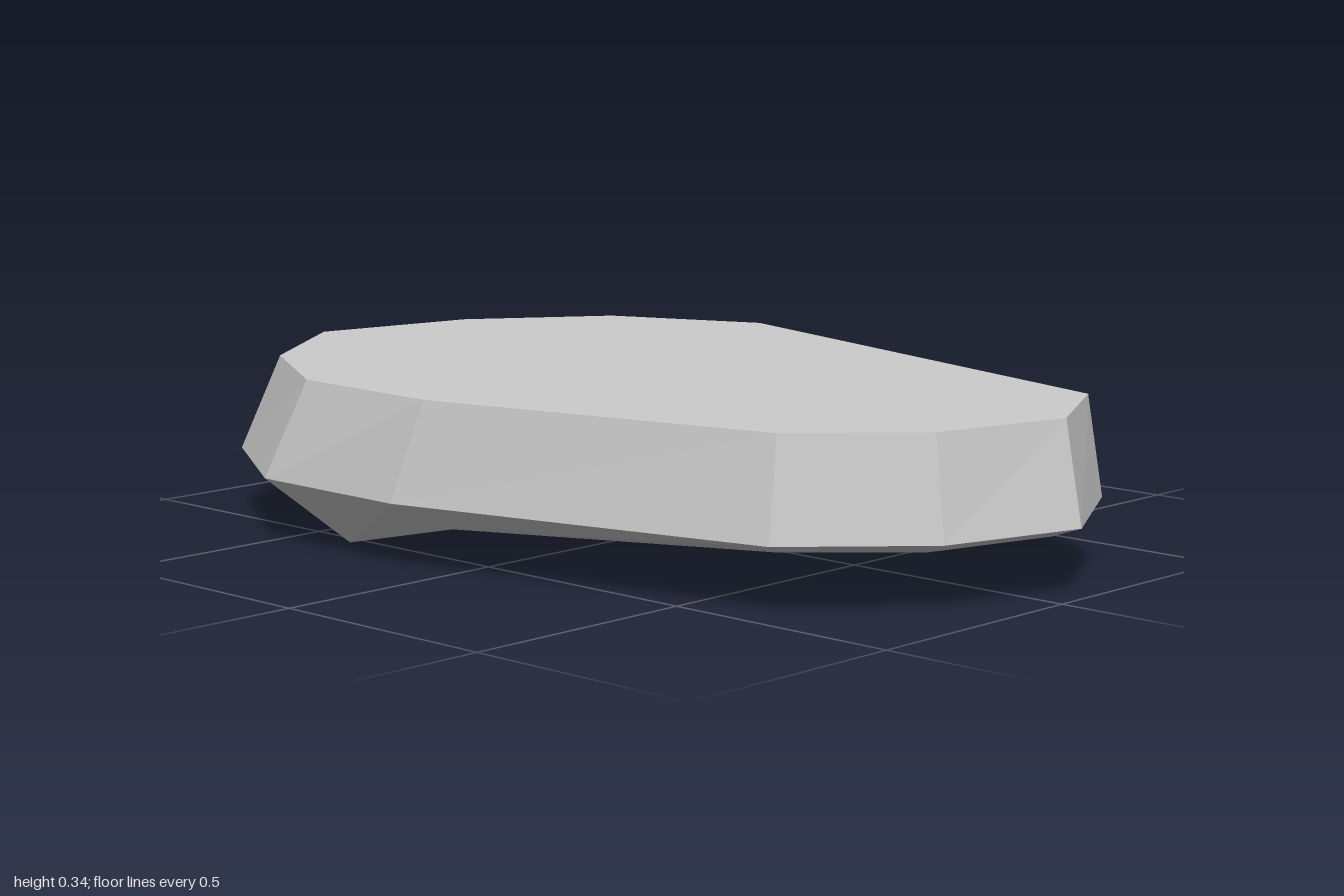
import * as THREE from 'three';

// Cross-section rings of the shell, clockwise from the back: [x, y, z]
const TOP_Y = 0.335, RIM_Y = 0.133;
const topRing = [
  [-0.145, -0.89], [0.2, -0.815], [0.47, -0.62], [0.61, -0.3], [0.31, 0.82], [0.055, 0.96],
  [-0.23, 0.885], [-0.435, 0.685], [-0.62, -0.05], [-0.61, -0.4], [-0.435, -0.69],
].map(([x, z]) => [x, TOP_Y, z]);
const rimRing = [
  [-0.155, -1], [0.21, -0.92], [0.51, -0.71], [0.66, -0.365], [0.335, 0.84], [0.055, 1],
  [-0.24, 0.915], [-0.465, 0.695], [-0.66, -0.1], [-0.655, -0.48], [-0.46, -0.79],
].map(([x, z]) => [x, RIM_Y, z]);
const lipRing = [
  [-0.135, 0, -0.785], [0.18, 0, -0.72], [0.44, 0.003, -0.52], [0.575, 0.086, -0.26],
  [0.31, 0.11, 0.79], [0.05, 0.11, 0.935], [-0.22, 0.11, 0.86], [-0.41, 0.11, 0.66],
  [-0.575, 0.082, -0.02], [-0.565, 0.011, -0.33], [-0.4, 0.002, -0.6],
];

function facets(triangles) {
  const geometry = new THREE.BufferGeometry();
  geometry.setAttribute('position', new THREE.Float32BufferAttribute(triangles.flat(2), 3));
  geometry.computeVertexNormals();
  return geometry;
}

// Band of faces between two matching rings, facing outward
function band(lower, upper) {
  const triangles = [];
  lower.forEach((a, i) => {
    const j = (i + 1) % lower.length;
    triangles.push([lower[j], a, upper[i]], [lower[j], upper[i], upper[j]]);
  });
  return facets(triangles);
}

// Flat cover over a ring, facing up
function cover(ring) {
  const triangles = [];
  for (let i = 1; i < ring.length - 1; i++) triangles.push([ring[0], ring[i + 1], ring[i]]);
  return facets(triangles);
}

export function createModel() {
  const model = new THREE.Group();
  model.name = 'hollowShell';
  const grey = new THREE.MeshStandardMaterial({ color: 0xcccccc, flatShading: true, side: THREE.DoubleSide });
  grey.name = 'light grey';

  const add = (name, geometry) => {
    const mesh = new THREE.Mesh(geometry, grey);
    mesh.name = name;
    model.add(mesh);
  };
  add('topCover', cover(topRing));
  add('sideWall', band(rimRing, topRing));
  // Tucked-in lip, open underneath and deeper at the back
  add('lowerLip', band(lipRing, rimRing));
  return model;
}
